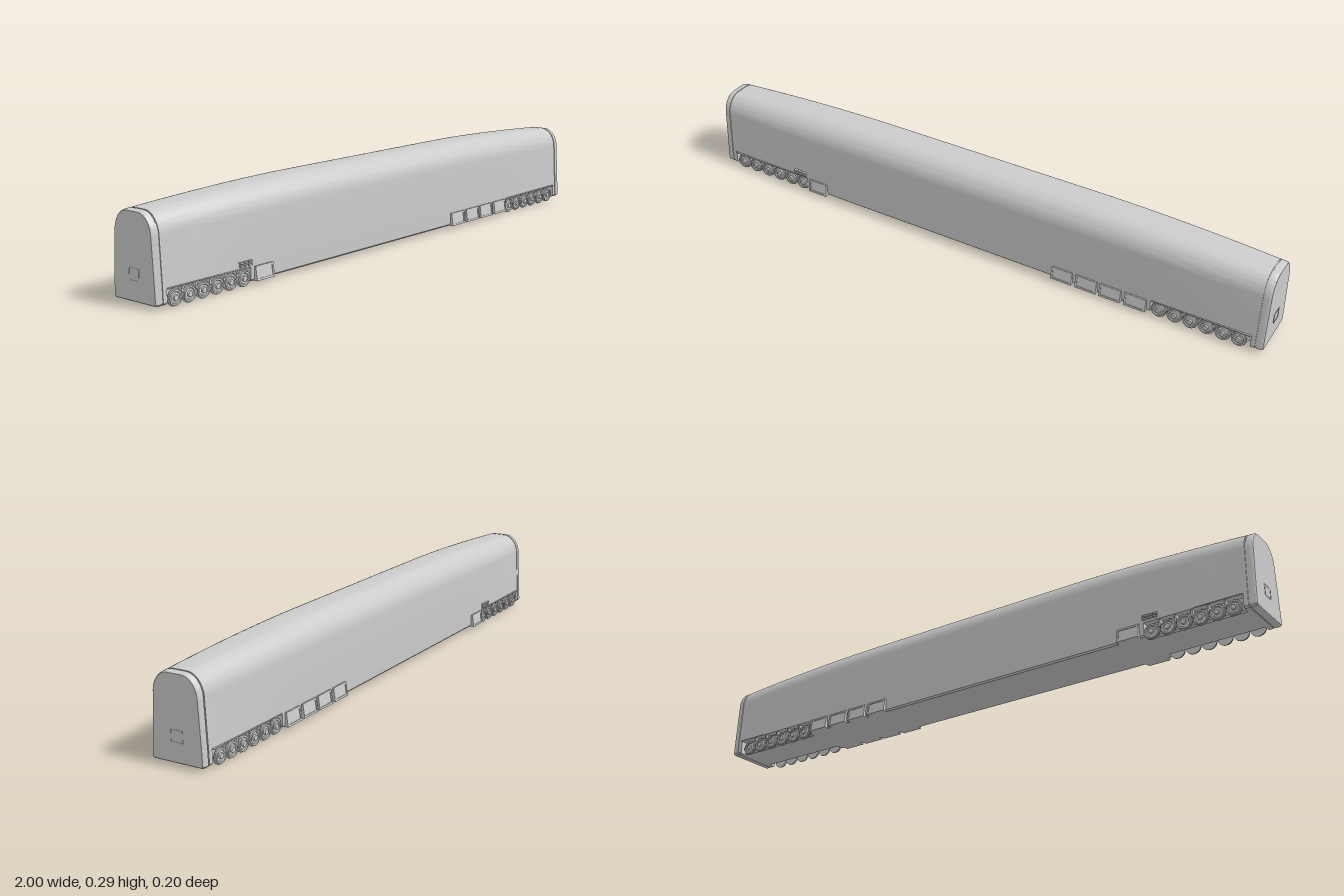
import * as THREE from 'three';
import { toCreasedNormals } from 'three/addons/utils/BufferGeometryUtils.js';

const material = new THREE.MeshStandardMaterial({ color: 0xcccccc });
const FLOOR = 0.012, WELL_TOP = 0.056;

function part(name, geometry, x = 0, y = 0, z = 0) {
  const m = new THREE.Mesh(geometry, material);
  m.name = name;
  m.position.set(x, y, z);
  return m;
}

// Hull cross-section at x: [z, y] up the +z side, over the roof, down the -z side.
function section(x, inset, well) {
  const a = Math.abs(x);
  const t = Math.pow(Math.max(0, (a - 0.4) / 0.6), 1.6);
  const s = Math.pow(Math.max(0, (a - 0.4) / 0.6), 2.5);
  const top = 0.286 - 0.023 * t, shoulder = 0.21 - 0.012 * t;
  const wLow = 0.089 - 0.003 * s, wHigh = 0.09 - 0.015 * s, flat = 0.022;
  const side = y => wLow + (wHigh - wLow) * (y - FLOOR) / (shoulder - FLOOR);
  const half = [
    [wLow - 0.006 - well, FLOOR],
    [wLow - (well ? well : 0.001), FLOOR + 0.005],
    [side(WELL_TOP) - well, WELL_TOP],
    [side(WELL_TOP), WELL_TOP],
  ];
  for (let i = 0; i <= 14; i++) {
    const k = i / 14 * Math.PI / 2;
    half.push([flat + (wHigh - flat) * Math.cos(k), shoulder + (top - shoulder) * Math.sin(k)]);
  }
  const loop = half.concat(half.slice().reverse().map(([z, y]) => [-z, y]));
  return loop.map(([z, y]) => [z * (1 - inset / 0.088), 0.14 + (y - 0.14) * (1 - inset / 0.13)]);
}

function hullGeometry() {
  // Stations along one half: [x, inset, well depth]
  const stations = (wellStart) => {
    const out = [];
    for (let i = 1; i <= 6; i++) out.push([wellStart * i / 6, 0, 0]);
    for (let i = 0; i <= 6; i++) out.push([wellStart + (0.96 - wellStart) * i / 6, 0, 0.022]);
    out.push([0.96, 0, 0], [0.974, 0, 0], [0.974, 0.0025, 0], [0.978, 0.0025, 0], [0.978, 0, 0],
      [0.993, 0, 0], [0.997, 0.001, 0], [0.999, 0.003, 0]);
    return out;
  };
  const left = stations(0.64), right = stations(0.65).map(([x, i, w]) => [-x, i, w]).reverse();
  const rings = [...right, [0, 0, 0], ...left].map(([x, inset, well]) =>
    section(x, inset, well).map(([z, y]) => [x, y, z]));
  const pos = [], n = rings[0].length;
  const tri = (a, b, c) => pos.push(...a, ...b, ...c);
  for (let i = 0; i < rings.length - 1; i++) {
    for (let j = 0; j < n; j++) {
      const k = (j + 1) % n, A = rings[i], B = rings[i + 1];
      tri(A[j], B[j], A[k]);
      tri(B[j], B[k], A[k]);
    }
  }
  // Flat end walls
  const first = rings[0], last = rings[rings.length - 1];
  for (let j = 0; j < n; j++) {
    const k = (j + 1) % n;
    tri([first[0][0], 0.14, 0], first[j], first[k]);
    tri([last[0][0], 0.14, 0], last[k], last[j]);
  }
  const g = new THREE.BufferGeometry();
  g.setAttribute('position', new THREE.Float32BufferAttribute(pos, 3));
  return toCreasedNormals(g, 0.5);
}

// Wheel with flange, dished face and hub, outer face toward +z
function wheelGeometry() {
  const profile = [[0, -0.005], [0.025, -0.005], [0.025, -0.002], [0.022, -0.001], [0.022, 0.004],
    [0.017, 0.004], [0.015, 0.001], [0.009, 0.001], [0.008, 0.006], [0, 0.006]];
  const g = new THREE.LatheGeometry(profile.map(p => new THREE.Vector2(...p)), 28);
  return toCreasedNormals(g.rotateX(Math.PI / 2), 0.5);
}

// Rectangular frame in the xy plane
function frameGeometry(w, h, border, depth) {
  const rect = (C, a, b) => new C([[-a, -b], [a, -b], [a, b], [-a, b]].map(p => new THREE.Vector2(...p)));
  const s = rect(THREE.Shape, w / 2, h / 2);
  s.holes.push(rect(THREE.Path, w / 2 - border, h / 2 - border));
  return new THREE.ExtrudeGeometry(s, { depth, bevelEnabled: false });
}

// Sloped equipment box on the lower flank
function equipmentBox(x, width) {
  const g = new THREE.Group();
  g.name = 'equipmentBox';
  const s = new THREE.Shape([[0.08, FLOOR], [0.098, FLOOR], [0.092, 0.055], [0.08, 0.055]]
    .map(([z, y]) => new THREE.Vector2(-z, y)).reverse());
  const block = new THREE.ExtrudeGeometry(s, { depth: width, bevelEnabled: false });
  block.rotateY(Math.PI / 2).translate(x - width / 2, 0, 0);
  g.add(part('boxBody', block));
  const rim = part('boxRim', frameGeometry(width, 0.043, 0.006, 0.002), x, 0.0335, 0.095);
  rim.rotation.x = -Math.atan(0.006 / 0.043);
  g.add(rim);
  return g;
}

function flank() {
  const g = new THREE.Group();
  const wheel = wheelGeometry();
  for (const [start, wellMid, wellWidth] of [[-0.93, -0.805, 0.31], [0.665, 0.8, 0.32]]) {
    const bogie = new THREE.Group();
    bogie.name = 'bogie';
    for (let i = 0; i < 6; i++) {
      const x = start + i * 0.0515;
      bogie.add(part('wheel', wheel, x, 0.025, 0.082));
      // Hanger between neighbouring wheels
      if (i < 5) bogie.add(part('hanger', new THREE.BoxGeometry(0.006, 0.022, 0.014), x + 0.0258, 0.045, 0.076));
    }
    bogie.add(part('wellLip', new THREE.BoxGeometry(wellWidth, 0.003, 0.006), wellMid, 0.056, 0.087));
    g.add(bogie);
  }
  for (const x of [-0.6, 0.34, 0.425, 0.507, 0.592]) g.add(equipmentBox(x, 0.072));
  // Small vent above the rear bogie
  for (let c = 0; c < 3; c++) for (const y of [0.065, 0.074]) {
    g.add(part('ventSlat', new THREE.BoxGeometry(0.014, 0.005, 0.01), -0.69 + c * 0.017, y, 0.091));
  }
  return g;
}

export function createModel() {
  const model = new THREE.Group();
  model.name = 'railCar';
  model.add(part('hull', hullGeometry()));

  for (const name of ['frontFlank', 'backFlank']) {
    const f = flank();
    f.name = name;
    if (name === 'backFlank') {
      // Mirror by turning each piece of geometry over the z = 0 plane
      f.scale.z = -1;
    }
    model.add(f);
  }

  // Framed hatch on each end wall
  for (const s of [-1, 1]) {
    const hatch = part('endHatch', frameGeometry(0.04, 0.036, 0.002, 0.002), s * 0.998, 0.088, 0);
    hatch.rotation.y = s * Math.PI / 2;
    model.add(hatch);
  }
  return model;
}
